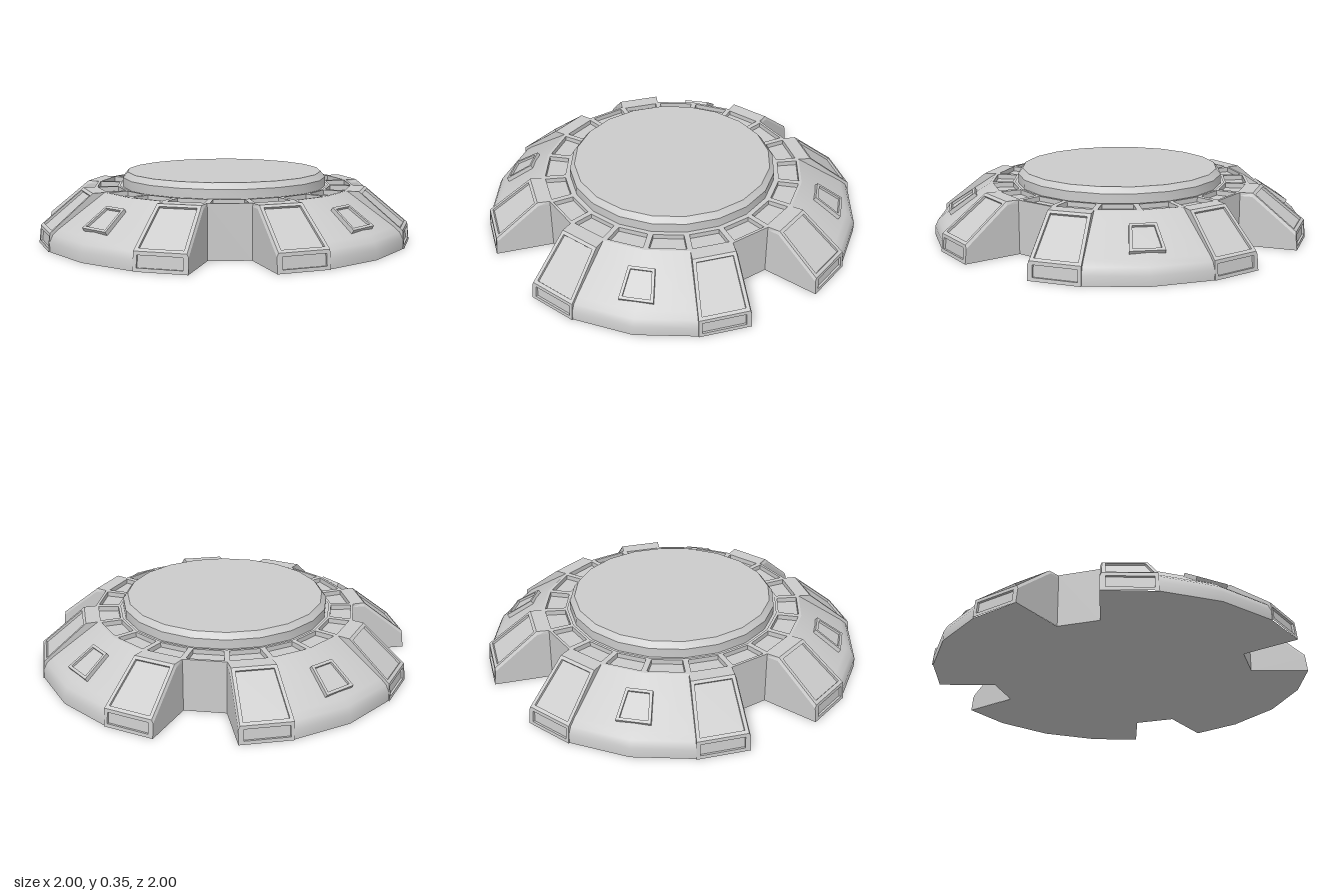
import * as THREE from 'three';
import { toCreasedNormals } from 'three/addons/utils/BufferGeometryUtils.js';

const grey = new THREE.MeshStandardMaterial({ color: 0xcccccc });
const V = (x, y, z) => new THREE.Vector3(x, y, z);
const rad = THREE.MathUtils.degToRad;
const polar = (r, deg, y) => V(r * Math.sin(rad(deg)), y, r * Math.cos(rad(deg)));

// flat faced mesh from a list of convex polygons
function polyMesh(name, polys) {
  const pos = [];
  for (const p of polys) {
    for (let i = 1; i < p.length - 1; i++) {
      for (const v of [p[0], p[i], p[i + 1]]) pos.push(v.x, v.y, v.z);
    }
  }
  const g = new THREE.BufferGeometry();
  g.setAttribute('position', new THREE.Float32BufferAttribute(pos, 3));
  g.computeVertexNormals();
  return mesh(name, g);
}

function mesh(name, geometry) {
  const m = new THREE.Mesh(geometry, grey);
  m.name = name;
  return m;
}

// quad with a rim and a recessed floor
function recessed(q, inset, depth) {
  const n = q[1].clone().sub(q[0]).cross(q[2].clone().sub(q[0])).normalize();
  const toward = (a, b) => b.clone().sub(a).setLength(inset);
  const inner = q.map((p, i) => p.clone().add(toward(p, q[(i + 1) % 4])).add(toward(p, q[(i + 3) % 4])));
  const floor = inner.map((p) => p.clone().addScaledVector(n, -depth));
  const polys = [floor];
  for (let i = 0; i < 4; i++) {
    const j = (i + 1) % 4;
    polys.push([q[i], q[j], inner[j], inner[i]], [inner[i], inner[j], floor[j], floor[i]]);
  }
  return polys;
}

// buttress beside the notch; s = 1 or -1 picks the side
function buttress(s) {
  const at = (u, d, y) => {
    const c = Math.cos(rad(27)), k = Math.sin(rad(27));
    return V(s * (d * k + u * c), y, d * c - u * k);
  };
  const profile = [[0.691, 0.28], [0.755, 0.28], [0.985, 0.095], [0.994, 0], [0.691, 0]];
  const a = profile.map(([d, y]) => at(-0.158 * d, d, y));
  const b = profile.map(([d, y], i) => at(i % 4 ? 0.103 : 0.109, d, y));
  const c = profile.map(([d, y]) => at(0.111, d, Math.max(0, y - 0.018)));
  const order = (p) => (s > 0 ? p : [...p].reverse());
  const polys = [order([a[0], a[1], b[1], b[0]]), order([...a].reverse()), order(c)];
  for (let i = 0; i < 3; i++) polys.push(order([b[i], b[i + 1], c[i + 1], c[i]]));
  polys.push(...recessed(order([a[1], a[2], b[2], b[1]]), 0.018, 0.012));
  polys.push(...recessed(order([a[2], a[3], b[3], b[2]]), 0.018, 0.012));
  return polyMesh(s > 0 ? 'leftButtress' : 'rightButtress', polys);
}

// raised hatch on the sloping shell
function hatch() {
  const n = V(0, 0.832, 0.555);
  const corner = (x, r) => V(x, 0.28 - (r - 0.7) * 0.667, r).addScaledVector(n, 0.014);
  const q = [corner(-0.066, 0.775), corner(-0.086, 0.915), corner(0.086, 0.915), corner(0.066, 0.775)];
  const low = q.map((p) => p.clone().addScaledVector(n, -0.04));
  const polys = recessed(q, 0.015, 0.012);
  for (let i = 0; i < 4; i++) {
    const j = (i + 1) % 4;
    polys.push([q[j], q[i], low[i], low[j]]);
  }
  return polyMesh('hatch', polys);
}

function quarter() {
  const g = new THREE.Group();
  g.name = 'quarter';
  // smooth sloping shell
  const shell = [[1, 0], [1, 0.05], [0.982, 0.086], [0.95, 0.113], [0.7, 0.28]];
  g.add(mesh('shell', new THREE.LatheGeometry(
    shell.map(([r, y]) => new THREE.Vector2(r, y)), 2, rad(-18), rad(36))));
  g.add(buttress(1), buttress(-1), hatch());
  // wall at the back of the notch
  g.add(polyMesh('notchWall', [[polar(0.7, 36, 0.28), polar(0.7, 36, 0), polar(0.7, 54, 0), polar(0.7, 54, 0.28)]]));
  // recessed cells of the ring
  const cells = [];
  for (let i = -2; i < 3; i++) {
    const t = i * 18;
    cells.push(...recessed([polar(0.565, t, 0.28), polar(0.7, t, 0.28),
      polar(0.7, t + 18, 0.28), polar(0.565, t + 18, 0.28)], 0.014, 0.025));
  }
  g.add(polyMesh('ringCells', cells));
  return g;
}

export function createModel() {
  const model = new THREE.Group();
  model.name = 'platform';
  for (let i = 0; i < 4; i++) {
    const q = quarter();
    q.rotation.y = i * Math.PI / 2;
    model.add(q);
  }

  // raised centre disc and the narrow floor around it
  const disc = [[0.57, 0.276], [0.55, 0.276], [0.55, 0.325], [0.525, 0.355], [0, 0.355]];
  model.add(mesh('centreDisc', toCreasedNormals(new THREE.LatheGeometry(
    disc.map(([r, y]) => new THREE.Vector2(r, y)), 20), 0.6)));

  // underside with the four notches
  const outline = [];
  for (let i = 0; i < 4; i++) {
    for (const [r, t] of [[0.7, -36], [1, -33.4], [1, -18], [1, 0], [1, 18], [1, 33.4], [0.7, 36]]) {
      const p = polar(r, t + i * 90, 0);
      outline.push(new THREE.Vector2(p.x, p.z));
    }
  }
  const base = new THREE.ShapeGeometry(new THREE.Shape(outline));
  base.rotateX(Math.PI / 2);
  model.add(mesh('underside', base));
  return model;
}
